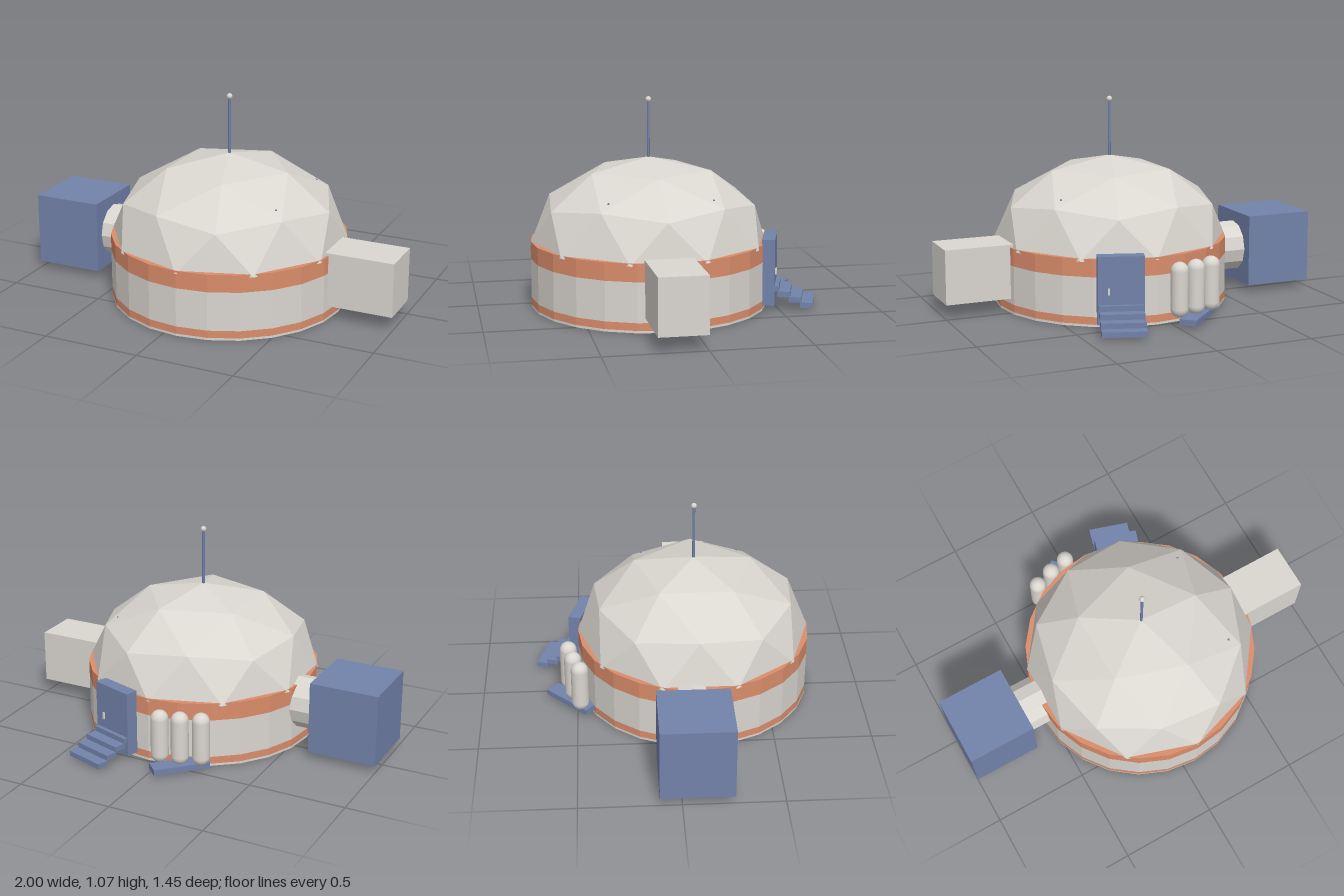
import * as THREE from 'three';

const material = (name, color) => {
  const m = new THREE.MeshStandardMaterial({ color });
  m.name = name;
  return m;
};

// Geodesic half dome: subdivided icosahedron, one vertex up, lower half removed
function domeGeometry(radius, height) {
  const ico = new THREE.IcosahedronGeometry(1, 1);
  ico.rotateZ(-Math.atan(2 / (1 + Math.sqrt(5))));
  const p = ico.attributes.position;
  const kept = [];
  for (let i = 0; i < p.count; i += 3) {
    if (p.getY(i) + p.getY(i + 1) + p.getY(i + 2) < 0.01) continue;
    for (let k = i; k < i + 3; k++) kept.push(p.getX(k) * radius, p.getY(k) * height, p.getZ(k) * radius);
  }
  const geo = new THREE.BufferGeometry();
  geo.setAttribute('position', new THREE.Float32BufferAttribute(kept, 3));
  geo.computeVertexNormals();
  return geo;
}

export function createModel() {
  const grey = material('shellGrey', 0xdad6d0);
  const blue = material('steelBlue', 0x7282aa);
  const orange = material('trimOrange', 0xdb8d6b);

  const model = new THREE.Group();
  model.name = 'domeHabitat';
  const CX = 0.07, CZ = 0.12, R = 0.608;

  const add = (parent, name, geo, mat, x = 0, y = 0, z = 0) => {
    const mesh = new THREE.Mesh(geo, mat);
    mesh.name = name;
    mesh.position.set(x, y, z);
    parent.add(mesh);
    return mesh;
  };
  const flat = (geo) => {
    const g = geo.toNonIndexed();
    g.computeVertexNormals();
    return g;
  };
  const box = (parent, name, mat, x0, x1, y0, y1, z0, z1) =>
    add(parent, name, new THREE.BoxGeometry(x1 - x0, y1 - y0, z1 - z0), mat,
      (x0 + x1) / 2, (y0 + y1) / 2, (z0 + z1) / 2);

  // Drum: faceted rings stacked from the ground up
  const body = new THREE.Group();
  body.name = 'body';
  body.position.set(CX, 0, CZ);
  model.add(body);
  const rings = [
    ['baseRing', grey, 0, 0.012],
    ['lowerBand', orange, 0.012, 0.05],
    ['wall', grey, 0.05, 0.25],
    ['upperBand', orange, 0.25, 0.34],
  ];
  for (const [name, mat, y0, y1] of rings)
    add(body, name, flat(new THREE.CylinderGeometry(R, R, y1 - y0, 24)), mat, 0, (y0 + y1) / 2, 0);

  // Dome, with two small studs on its facets
  add(body, 'dome', domeGeometry(0.61, 0.434), grey, 0, 0.326, 0);
  for (const s of [-1, 1])
    add(body, 'domeStud', new THREE.SphereGeometry(0.006, 8, 6), blue, 0.37, 0.59, s * 0.26);

  // Antenna
  add(body, 'antennaMast', new THREE.CylinderGeometry(0.007, 0.007, 0.3, 10), blue, 0, 0.9, 0);
  add(body, 'antennaTip', new THREE.SphereGeometry(0.015, 14, 10), grey, 0, 1.053, 0);

  // Side modules and the connecting tunnel
  box(model, 'leftModule', grey, 0.63, 1, 0.075, 0.355, 0, 0.24);
  box(model, 'rightModule', blue, -1, -0.64, 0.038, 0.415, -0.108, 0.256);
  const tunnel = add(model, 'tunnel', flat(new THREE.CylinderGeometry(0.134, 0.134, 0.2, 12)), grey, -0.56, 0.226, 0.076);
  tunnel.rotation.z = Math.PI / 2;

  // Rear entrance: local -z points outwards from the drum
  const entrance = new THREE.Group();
  entrance.name = 'entrance';
  entrance.position.set(CX, 0, CZ);
  entrance.rotation.y = -THREE.MathUtils.degToRad(17.7);
  model.add(entrance);
  box(entrance, 'door', blue, -0.115, 0.115, 0.025, 0.365, -0.656, -0.59);
  box(entrance, 'doorHandle', grey, 0.055, 0.065, 0.175, 0.21, -0.664, -0.655);
  for (let i = 0; i < 4; i++) {
    const end = -0.85 + i * 0.0575;
    const y = 0.018 + i * 0.027;
    box(entrance, 'step', blue, -0.11, 0.11, y, y + 0.027, end, end + 0.064);
  }

  // Storage tanks on their angled platform
  const platform = add(model, 'tankPlatform', new THREE.BoxGeometry(0.29, 0.03, 0.085), blue, -0.13, 0.035, -0.53);
  platform.rotation.y = Math.PI / 4;
  for (const [x, z] of [[-0.225, -0.483], [-0.125, -0.518], [-0.025, -0.542]])
    add(model, 'tank', new THREE.CapsuleGeometry(0.045, 0.19, 6, 16), grey, x, 0.18, z);

  return model;
}
